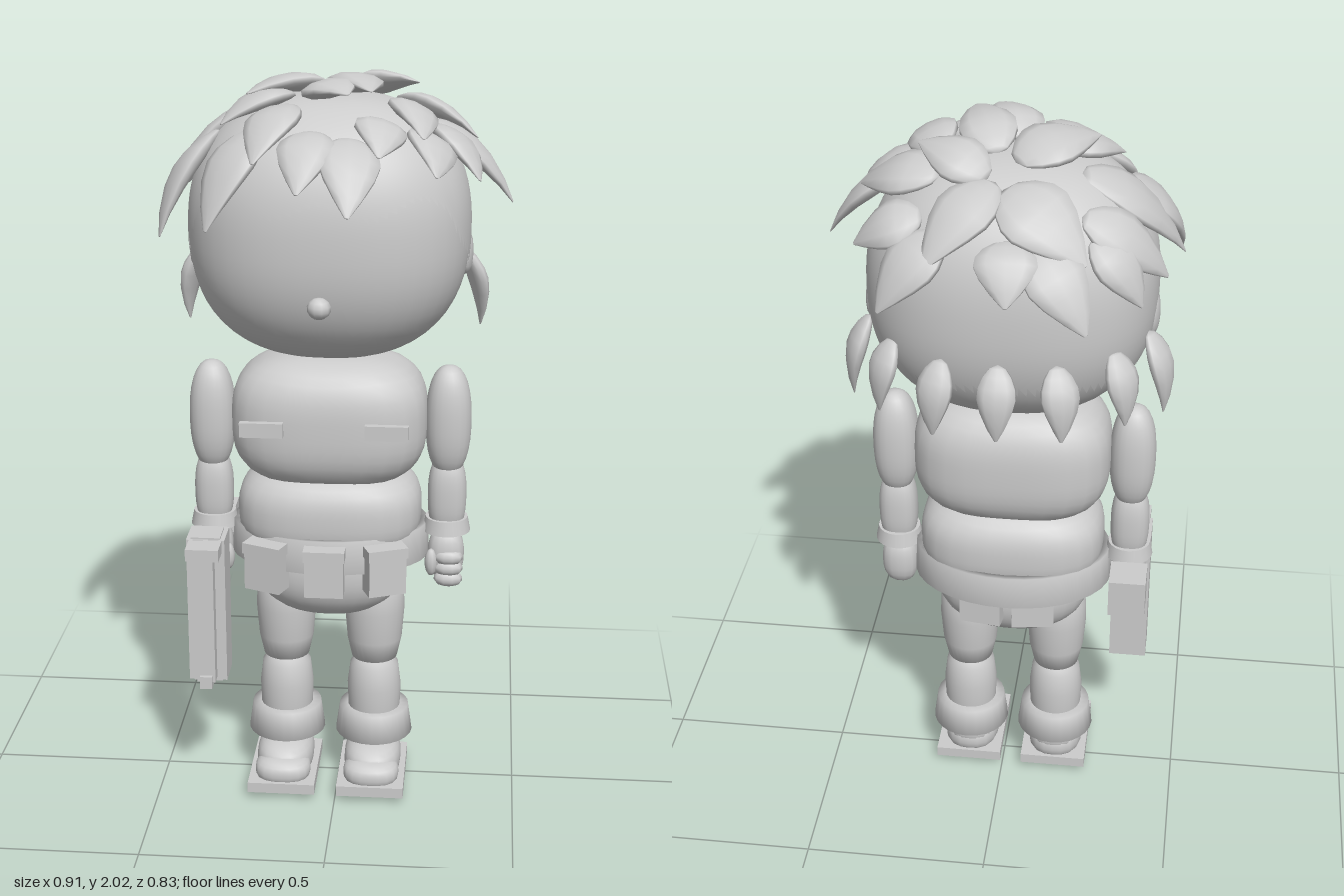
import * as THREE from 'three';
import { mergeVertices } from 'three/addons/utils/BufferGeometryUtils.js';

const CX = -0.026; // body centre line
const grey = new THREE.MeshStandardMaterial({ color: 0xcccccc });
grey.name = 'light grey';
const greyOpen = new THREE.MeshStandardMaterial({ color: 0xcccccc, side: THREE.DoubleSide });
greyOpen.name = 'light grey open';

function smooth(geo) {
  geo.deleteAttribute('uv');
  geo.deleteAttribute('normal');
  const g = mergeVertices(geo, 1e-5);
  g.computeVertexNormals();
  return g;
}

// Moves every vertex of a geometry by a rule
function bend(geo, rule) {
  const p = geo.attributes.position, v = new THREE.Vector3();
  for (let i = 0; i < p.count; i++) {
    rule(v.fromBufferAttribute(p, i));
    p.setXYZ(i, v.x, v.y, v.z);
  }
  return geo;
}

// Pushes a unit direction out to a squared-off ball of exponent n
function square(v, n) {
  const s = Math.abs(v.x) ** n + Math.abs(v.y) ** n + Math.abs(v.z) ** n;
  return v.multiplyScalar(s ** (-1 / n));
}
const blob = (rx, ry, rz, n = 2, seg = 32) =>
  smooth(bend(new THREE.SphereGeometry(1, seg, seg * 0.75), v => square(v, n)).scale(rx, ry, rz));

// Lathe of [radius, y] points, stretched in depth
const turned = (points, depth = 1, seg = 28) =>
  smooth(new THREE.LatheGeometry(points.map(([r, y]) => new THREE.Vector2(r, y)), seg).scale(1, 1, depth));

// Pointed lock of hair from base to tip, flattened towards its outward side
function leaf(base, tip, outward, width, thick) {
  const profile = [[0, 0], [0.4, 0.04], [0.72, 0.14], [0.95, 0.28], [1, 0.42], [0.82, 0.6], [0.45, 0.82], [0.07, 1], [0, 1]]
    .map(([r, y]) => new THREE.Vector2(r, y));
  const along = tip.clone().sub(base), len = along.length();
  const y = along.clone().normalize();
  const x = y.clone().cross(outward).normalize();
  const z = x.clone().cross(y);
  const geo = new THREE.LatheGeometry(profile, 10).scale(width, len, thick);
  bend(geo, v => { const t = v.y / len; v.z += 0.09 * len * 4 * t * (1 - t); });
  geo.applyMatrix4(new THREE.Matrix4().makeBasis(x, y, z).setPosition(base));
  return smooth(geo);
}

export function createModel() {
  const root = new THREE.Group();
  root.name = 'figure';
  const add = (name, geo, x, y, z, parent = root, mat = grey) => {
    const m = new THREE.Mesh(geo, mat);
    m.name = name;
    m.position.set(x, y, z);
    parent.add(m);
    return m;
  };
  const box = (name, w, h, d, x, y, z, parent) => add(name, new THREE.BoxGeometry(w, h, d), x, y, z, parent);
  const group = name => {
    const g = new THREE.Group();
    g.name = name;
    root.add(g);
    return g;
  };

  // Head, nose and ears
  add('head', blob(0.368, 0.345, 0.313, 2.4, 48), CX, 1.61, -0.025);
  add('nose', blob(0.031, 0.028, 0.03, 2, 10), CX, 1.475, 0.312);
  for (const s of [-1, 1]) add('ear', blob(0.025, 0.06, 0.046, 2.6, 12), CX + s * 0.352, 1.54, -0.05);

  // Hair cap: a thin shell whose rim runs high over the face and low behind
  const rim = a => {
    if (a < 0.95) return 0.26 + 0.06 * Math.cos(a * 9);
    if (a < 1.08) return THREE.MathUtils.mapLinear(a, 0.95, 1.08, 0.22, 0);
    return THREE.MathUtils.mapLinear(Math.min(a, 1.9), 1.08, 1.9, 0, -0.55);
  };
  const cap = bend(new THREE.SphereGeometry(1, 96, 24), v => {
    const a = Math.atan2(v.x, v.z);
    const t = Math.acos(THREE.MathUtils.clamp(v.y, -1, 1)) / Math.PI * (Math.PI / 2 - rim(Math.abs(a)));
    v.set(Math.sin(t) * Math.sin(a), Math.cos(t), Math.sin(t) * Math.cos(a));
    square(v, 2.4);
  }).scale(0.371, 0.349, 0.316);
  add('hairCap', smooth(cap), CX, 1.61, -0.025, root, greyOpen);

  // Crown locks: base x, z, tip x, z, half width
  const locks = [
    [-0.02, -0.20, -0.23, -0.31, 0.10], [0.00, -0.18, 0.155, -0.355, 0.08], [-0.04, -0.11, -0.23, 0.06, 0.085],
    [0.02, -0.17, 0.20, -0.07, 0.07], [0.01, -0.07, 0.09, 0.155, 0.075], [-0.12, -0.01, -0.29, 0.12, 0.075],
    [0.14, -0.14, 0.355, -0.03, 0.075], [-0.21, -0.22, -0.42, -0.15, 0.075], [-0.20, -0.10, -0.455, 0.03, 0.085],
    [-0.12, 0.09, -0.19, 0.30, 0.075], [-0.05, 0.02, 0.035, 0.185, 0.075], [0.16, 0.01, 0.225, 0.225, 0.07],
    [0.17, -0.23, 0.345, -0.21, 0.07], [0.22, -0.01, 0.45, 0.01, 0.075], [0.24, 0.01, 0.365, 0.165, 0.075],
    [-0.04, -0.29, -0.05, -0.415, 0.08], [-0.10, -0.29, -0.24, -0.39, 0.08], [0.12, -0.27, 0.265, -0.365, 0.08],
    [-0.24, -0.24, -0.365, -0.27, 0.07], [-0.31, 0.01, -0.445, 0.18, 0.08], [-0.19, 0.15, -0.305, 0.33, 0.08],
    [-0.05, 0.19, -0.075, 0.38, 0.075], [0.04, 0.20, 0.05, 0.41, 0.08], [0.22, 0.10, 0.26, 0.275, 0.075],
    [0.11, 0.14, 0.12, 0.315, 0.07],
  ];
  const hair = group('hair');
  const domeY = (x, z) => {
    const f = Math.abs((x - CX) / 0.368) ** 2.4 + Math.abs((z + 0.025) / 0.313) ** 2.4;
    return 1.61 + 0.345 * Math.max(0, 1 - f) ** (1 / 2.4);
  };
  for (const [bx, bz, tx, tz, w] of locks) {
    const r = Math.hypot(tx, tz * 1.04);
    const tip = new THREE.Vector3(tx, 1.995 - 3.2 * Math.max(0, r - 0.14) ** 2, tz);
    const base = new THREE.Vector3(bx, domeY(bx, bz) + 0.004, bz);
    const out = base.clone().add(tip).multiplyScalar(0.5).sub(new THREE.Vector3(CX, 1.55, -0.02));
    add('crownLock', leaf(base, tip, out, w, 0.025), 0, 0, 0, hair);
  }

  // Nape locks hanging round the back
  for (const [x, z, w, low] of [[0, -0.4, 0.05, 1.34], [0.16, -0.385, 0.05, 1.34], [0.31, -0.285, 0.05, 1.34], [0.4, -0.155, 0.052, 1.31]])
    for (const s of x ? [-1, 1] : [1]) {
      const base = new THREE.Vector3(CX + s * x * 0.88, 1.53, z * 0.88);
      const out = new THREE.Vector3(s * x, 0.1, z);
      add('napeLock', leaf(base, new THREE.Vector3(CX + s * x, low, z), out, w, 0.024), 0, 0, 0, hair);
    }

  // Torso and pelvis
  add('chest', blob(0.265, 0.182, 0.178, 3), CX, 1.087, -0.013);
  add('waist', blob(0.252, 0.135, 0.176, 2.8), CX, 0.825, -0.018);
  add('pelvis', blob(0.215, 0.155, 0.15, 2.3), CX, 0.665, -0.012);
  for (const s of [-1, 1]) box('chestBadge', 0.115, 0.04, 0.018, CX + s * 0.165, 1.107, 0.188);

  // Belt with pouches
  const belt = new THREE.LatheGeometry([[0.25, 0.69], [0.275, 0.69], [0.27, 0.785], [0.245, 0.785], [0.25, 0.69]]
    .map(([r, y]) => new THREE.Vector2(r, y)), 32).scale(1, 1, 0.71);
  const beltGroup = group('belt');
  add('beltBand', belt.toNonIndexed(), CX, 0, -0.022, beltGroup);
  belt.computeVertexNormals();
  for (const x of [-0.16, 0, 0.16]) {
    const z = x ? 0.15 : 0.178;
    const p = box('frontPouch', 0.105, 0.125, 0.06, CX + x, 0.7, z, beltGroup);
    p.rotation.y = x * 2.4;
    const flap = box('pouchFlap', 0.112, 0.03, 0.07, CX + x, 0.757, z, beltGroup);
    flap.rotation.y = x * 2.4;
  }
  for (const x of [-0.07, 0.07])
    box('backPouch', 0.115, 0.11, 0.05, CX + x, 0.665, -0.165, beltGroup).rotation.y = -x * 2;

  for (const s of [-1, 1]) {
    // Leg
    const leg = group(s > 0 ? 'leftLeg' : 'rightLeg');
    leg.position.set(CX + s * 0.125, 0, -0.012);
    add('thigh', turned([[0, 0.66], [0.06, 0.645], [0.082, 0.58], [0.084, 0.52], [0.077, 0.43], [0.064, 0.37], [0, 0.35]].reverse(), 0.97), 0, 0, 0, leg);
    add('shin', turned([[0, 0.1], [0.06, 0.11], [0.073, 0.2], [0.076, 0.28], [0.068, 0.345], [0.045, 0.37], [0, 0.375]], 0.98), 0, 0, 0, leg);
    add('trouserCuff', new THREE.LatheGeometry([[0.07, 0.14], [0.109, 0.135], [0.098, 0.215], [0.07, 0.215]]
      .map(([r, y]) => new THREE.Vector2(r, y)), 24), 0, 0, 0, leg, greyOpen);

    // Shoe
    add('shoe', blob(0.08, 0.06, 0.115, 2.6, 20), 0, 0.075, 0.045, leg);
    add('shoeAnkle', blob(0.07, 0.06, 0.075, 2.4, 20), 0, 0.105, 0.005, leg);
    add('toeCap', blob(0.078, 0.04, 0.065, 2.6, 20), 0, 0.065, 0.125, leg);
    box('sole', 0.188, 0.03, 0.27, 0, 0.033, 0.062, leg);
    box('solePad', 0.13, 0.018, 0.2, 0, 0.009, 0.062, leg);

    // Arm
    const arm = group(s > 0 ? 'leftArm' : 'rightArm');
    arm.position.set(CX + s * 0.322, 0, -0.01);
    add('upperArm', blob(0.062, 0.155, 0.064, 2.4, 24), 0, 1.08, 0, arm);
    add('forearm', blob(0.053, 0.115, 0.05, 2.6, 24), 0, 0.865, 0, arm);
    add('sleeveCuff', new THREE.CylinderGeometry(0.058, 0.066, 0.04, 20), 0, 0.782, 0, arm);
    add('palm', blob(0.05, 0.075, 0.045, 2.6, 16), 0, 0.69, 0, arm);
    for (let i = 0; i < 3; i++)
      add('finger', blob(0.04, 0.022, 0.026, 2.3, 10), s * 0.008, 0.69 - i * 0.032, 0.03, arm);
    add('thumb', blob(0.018, 0.04, 0.02, 2, 10), -s * 0.04, 0.675, 0.035, arm);
  }

  // Sidearm held muzzle down in the right hand
  const gun = group('sidearm');
  gun.position.set(-0.354, 0, 0);
  box('body', 0.105, 0.42, 0.1, 0, 0.56, 0.097, gun);
  box('bodyEdge', 0.08, 0.43, 0.085, 0, 0.56, 0.1, gun);
  box('barrel', 0.05, 0.38, 0.036, 0, 0.55, 0.166, gun);
  box('barrelLink', 0.03, 0.34, 0.03, 0, 0.54, 0.15, gun);
  box('rearSight', 0.09, 0.034, 0.09, 0, 0.752, 0.17, gun);
  box('frontSight', 0.034, 0.036, 0.06, 0, 0.362, 0.165, gun);
  box('grip', 0.055, 0.075, 0.22, 0, 0.69, -0.03, gun);
  box('magazine', 0.1, 0.11, 0.1, 0, 0.715, -0.125, gun);
  box('triggerGuard', 0.025, 0.06, 0.07, 0, 0.6, 0.02, gun);
  return root;
}
